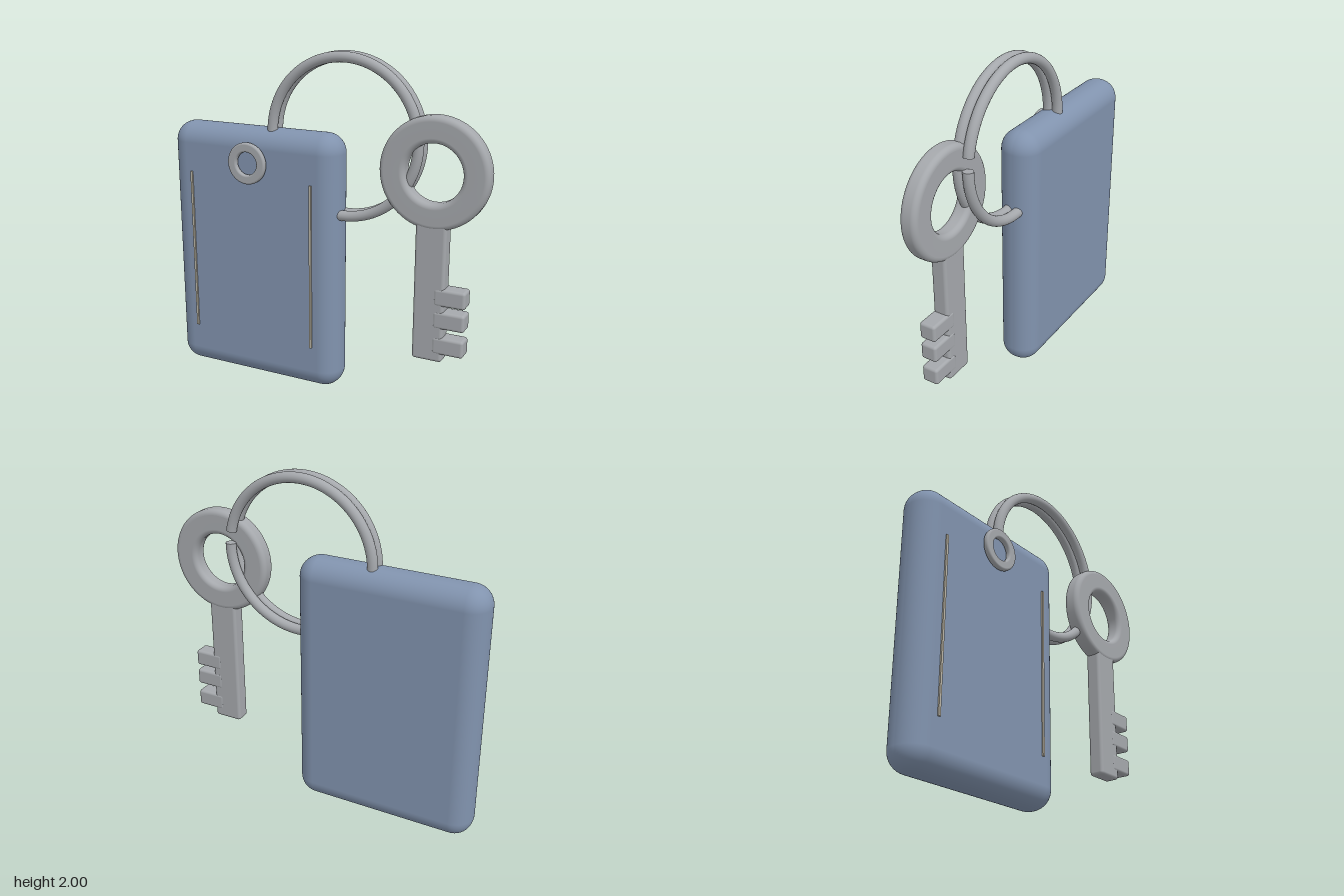
import * as THREE from 'three';
import { RoundedBoxGeometry } from 'three/addons/geometries/RoundedBoxGeometry.js';

export function createModel() {
  const model = new THREE.Group();
  model.name = 'keyFob';

  const material = (name, color) => {
    const m = new THREE.MeshStandardMaterial({ color });
    m.name = name;
    return m;
  };
  const blue = material('fobBlue', 0x8193ae);
  const metal = material('metalGrey', 0xa5a8ac);
  const cream = material('trimCream', 0xbab4a4);

  const add = (name, geometry, mat, x, y, z, parent = model) => {
    const mesh = new THREE.Mesh(geometry, mat);
    mesh.name = name;
    mesh.position.set(x, y, z);
    parent.add(mesh);
    return mesh;
  };

  // Flat washer facing +z with rounded edges, turned from a rounded rectangle
  const washer = (inner, outer, depth, bevel) => {
    const h = depth / 2;
    const corners = [
      [outer - bevel, -h + bevel, -Math.PI / 2],
      [outer - bevel, h - bevel, 0],
      [inner + bevel, h - bevel, Math.PI / 2],
      [inner + bevel, -h + bevel, Math.PI],
    ];
    const profile = [];
    for (const [cx, cy, start] of corners) {
      for (let i = 0; i <= 8; i++) {
        const a = start + (i / 8) * (Math.PI / 2);
        profile.push(new THREE.Vector2(cx + bevel * Math.cos(a), cy + bevel * Math.sin(a)));
      }
    }
    profile.push(profile[0].clone());
    return new THREE.LatheGeometry(profile, 72).rotateX(Math.PI / 2);
  };

  // Fob body
  add('fobBody', new RoundedBoxGeometry(1.1, 1.545, 0.24, 8, 0.115), blue, -0.435, 0.7725, -0.02);

  // Eyelet and the two stitched trim lines on the front
  add('eyelet', washer(0.067, 0.122, 0.034, 0.012), metal, -0.435, 1.35, 0.122);
  for (const x of [-0.832, -0.036]) {
    add('trimLine', new THREE.BoxGeometry(0.014, 0.99, 0.009), cream, x, 0.765, 0.108);
  }

  // Split ring: a full front coil and a rear coil with a small gap
  const ring = new THREE.Group();
  ring.name = 'splitRing';
  ring.position.set(0.12, 1.527, 0);
  model.add(ring);
  const R = 0.445, tube = 0.03;
  add('frontCoil', new THREE.TorusGeometry(R, tube, 20, 120), metal, 0, 0, 0.01, ring);
  const gapStart = 0.02, gapEnd = 0.185;
  const arc = Math.PI * 2 - (gapEnd - gapStart);
  const rear = add('rearCoil', new THREE.TorusGeometry(R, tube, 20, 120, arc), metal, 0, 0, -0.05, ring);
  rear.rotation.z = gapEnd;
  for (const [angle, turn] of [[gapEnd, Math.PI / 2], [gapStart, -Math.PI / 2]]) {
    const cap = add('coilEnd', new THREE.CircleGeometry(tube, 20).rotateX(turn), metal,
      R * Math.cos(angle), R * Math.sin(angle), -0.05, ring);
    cap.rotation.z = angle;
  }

  // Key: round bow, shank and three teeth
  const key = new THREE.Group();
  key.name = 'key';
  key.position.set(0.67, 0, 0.022);
  model.add(key);
  add('keyBow', washer(0.163, 0.31, 0.1, 0.03), metal, 0, 1.393, 0, key);
  add('keyShank', new RoundedBoxGeometry(0.176, 0.84, 0.092, 4, 0.018), metal, -0.001, 0.745, 0, key);
  for (const y of [0.71, 0.577, 0.425]) {
    add('keyTooth', new RoundedBoxGeometry(0.18, 0.1, 0.098, 4, 0.016), metal, 0.119, y, 0, key);
  }

  return model;
}
